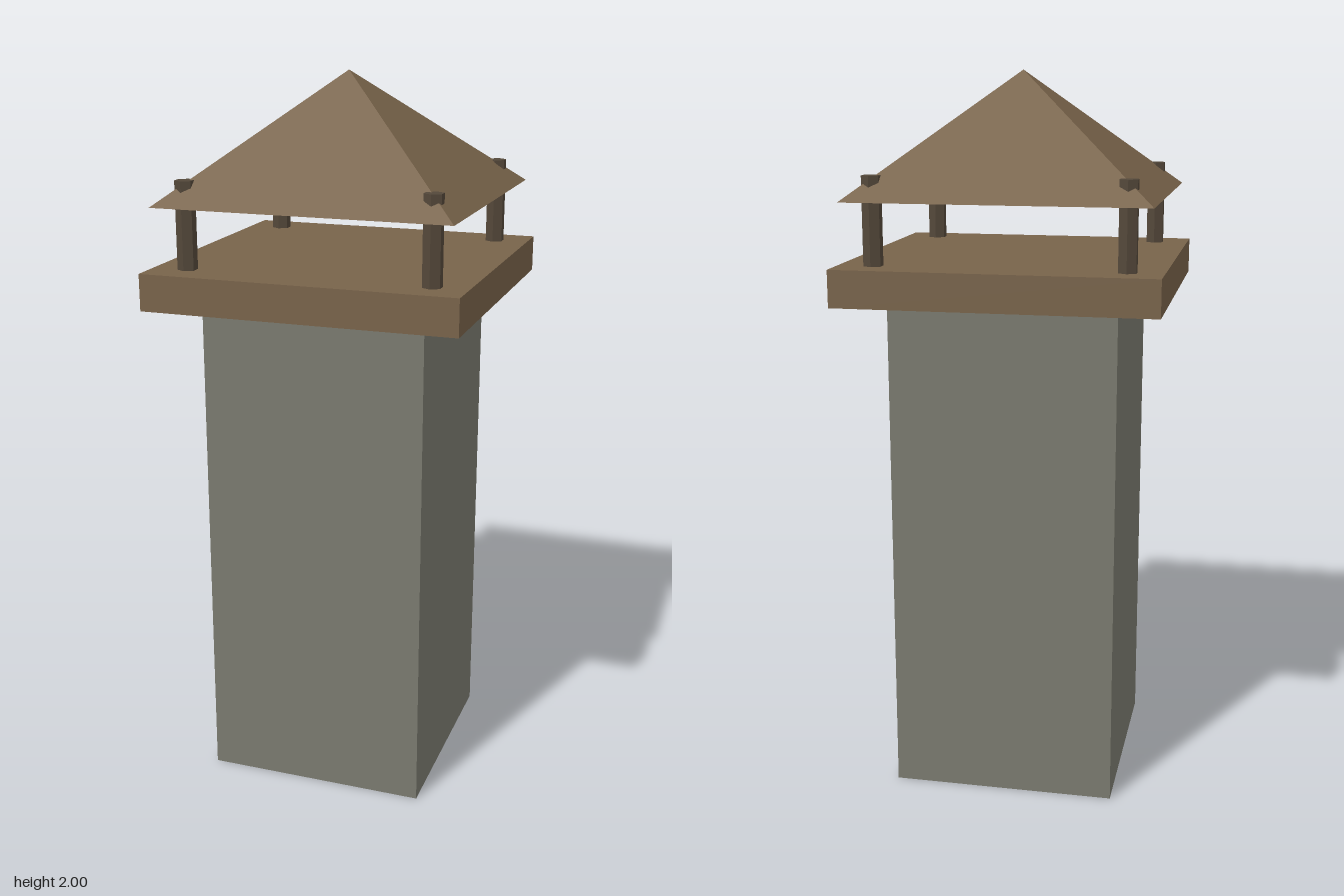
import * as THREE from 'three';

export function createModel() {
  const model = new THREE.Group();
  model.name = 'chimney';

  const material = (name, color) => {
    const m = new THREE.MeshStandardMaterial({ color, flatShading: true });
    m.name = name;
    return m;
  };
  const stone = material('grey stone', 0x7a7a6f);
  const clay = material('brown clay', 0x78634a);
  const iron = material('dark iron', 0x54483a);

  const add = (name, geometry, mat, x, y, z) => {
    const mesh = new THREE.Mesh(geometry, mat);
    mesh.name = name;
    mesh.position.set(x, y, z);
    model.add(mesh);
    return mesh;
  };

  // Square stack and the slab on top of it
  add('stack', new THREE.BoxGeometry(0.62, 1.4, 0.62), stone, 0, 0.7, 0);
  add('slab', new THREE.BoxGeometry(0.864, 0.1, 0.864), clay, 0, 1.45, 0);

  // Pyramid roof, turned so its sides face the axes
  const roofHalf = 0.407;
  const roof = new THREE.ConeGeometry(roofHalf * Math.SQRT2, 0.33, 4).rotateY(Math.PI / 4);
  add('roof', roof, clay, 0, 1.835, 0);

  // Hexagonal posts that pass through the roof corners
  const post = new THREE.CylinderGeometry(0.027, 0.027, 0.245, 6);
  for (const x of [-1, 1]) {
    for (const z of [-1, 1]) {
      add((z > 0 ? 'front' : 'back') + (x > 0 ? 'Left' : 'Right') + 'Post',
        post, iron, x * 0.336, 1.6125, z * 0.336);
    }
  }

  return model;
}
